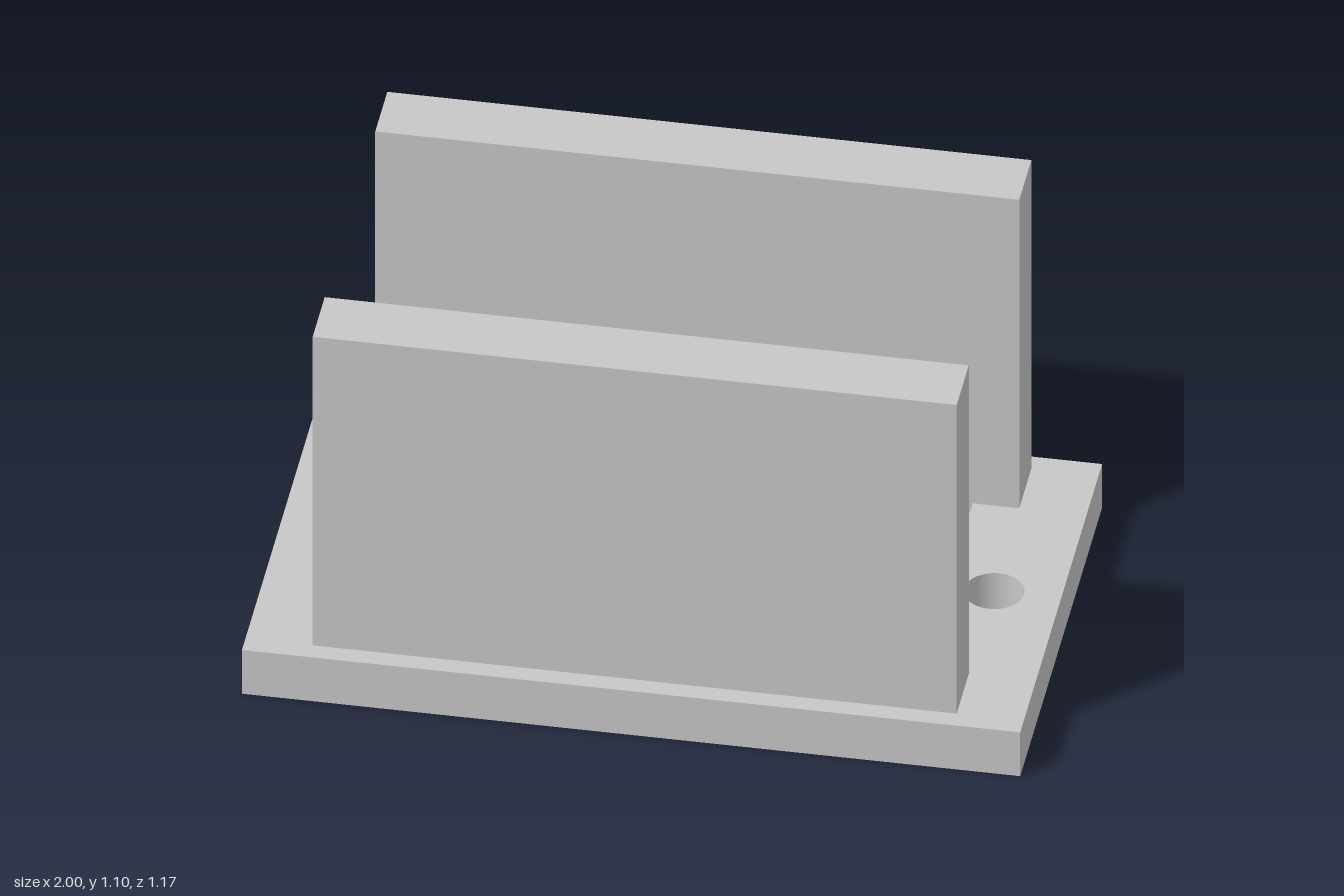
import * as THREE from 'three';

const BASE_W = 2, BASE_D = 1.17, BASE_H = 0.137;
const RECESS_W = 1.416, RECESS_D = 0.722, RECESS_H = 0.03;
const WALL_W = 1.655, WALL_H = 0.966, WALL_T = 0.173;
const HOLE_X = 0.828, HOLE_R = 0.077;

function rectangle(target, w, d) {
  target.moveTo(-w / 2, -d / 2);
  target.lineTo(w / 2, -d / 2);
  target.lineTo(w / 2, d / 2);
  target.lineTo(-w / 2, d / 2);
  target.closePath();
  return target;
}

// Horizontal slab with the two screw holes and an optional central opening
function slab(y, height, open, material) {
  const shape = rectangle(new THREE.Shape(), BASE_W, BASE_D);
  for (const side of [-1, 1]) {
    shape.holes.push(new THREE.Path().absarc(side * HOLE_X, 0, HOLE_R, 0, Math.PI * 2, true));
  }
  if (open) shape.holes.push(rectangle(new THREE.Path(), RECESS_W, RECESS_D));
  const geometry = new THREE.ExtrudeGeometry(shape, { depth: height, bevelEnabled: false, curveSegments: 32 });
  geometry.rotateX(-Math.PI / 2);
  geometry.translate(0, y, 0);
  return new THREE.Mesh(geometry, material);
}

export function createModel() {
  const grey = new THREE.MeshStandardMaterial({ color: 0xc7c7c7 });
  grey.name = 'lightGrey';
  const model = new THREE.Group();
  model.name = 'bracket';

  // Base plate: solid floor plus a rim layer that leaves a shallow recess
  const floor = slab(0, BASE_H - RECESS_H, false, grey);
  floor.name = 'baseFloor';
  const rim = slab(BASE_H - RECESS_H, RECESS_H, true, grey);
  rim.name = 'baseRim';
  model.add(floor, rim);

  // Upright walls, inner faces flush with the recess
  for (const side of [1, -1]) {
    const wall = new THREE.Mesh(new THREE.BoxGeometry(WALL_W, WALL_H, WALL_T), grey);
    wall.name = side > 0 ? 'frontWall' : 'backWall';
    wall.position.set(0, BASE_H + WALL_H / 2, side * (RECESS_D + WALL_T) / 2);
    model.add(wall);
  }
  return model;
}
